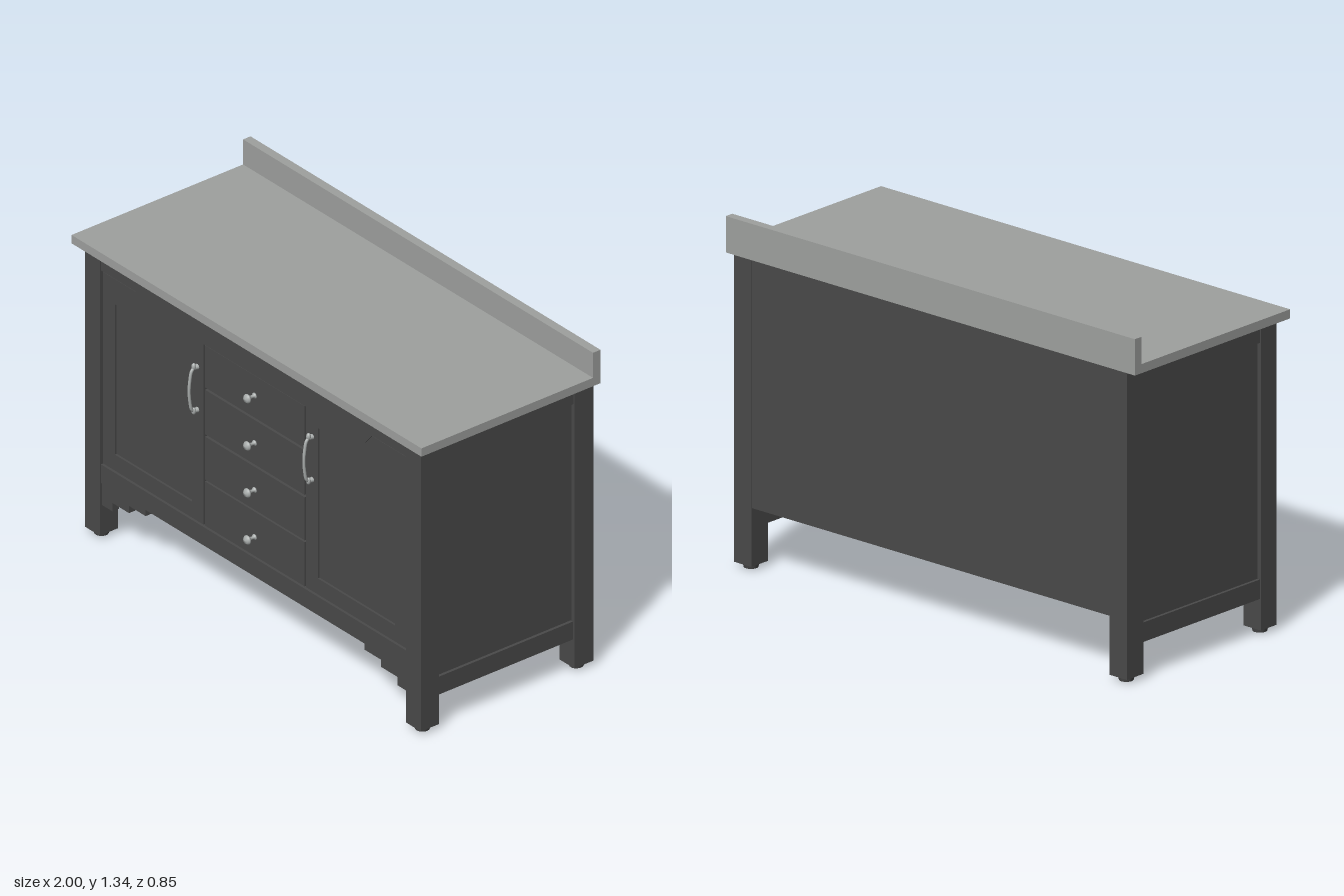
import * as THREE from 'three';

export function createModel() {
  const root = new THREE.Group();
  const mat = (name, color) => Object.assign(new THREE.MeshStandardMaterial({ color }), { name });
  const paint = mat('charcoal paint', 0x4a4a4a);
  const stone = mat('grey stone', 0x9fa19f);
  const metal = mat('brushed metal', 0xa8acab);

  const add = (name, geo, material, parent = root) => {
    const m = new THREE.Mesh(geo, material);
    m.name = name;
    parent.add(m);
    return m;
  };
  // box given by its limits on each axis
  const box = (name, x0, x1, y0, y1, z0, z1, material = paint, parent = root) => {
    const m = add(name, new THREE.BoxGeometry(x1 - x0, y1 - y0, z1 - z0), material, parent);
    m.position.set((x0 + x1) / 2, (y0 + y1) / 2, (z0 + z1) / 2);
    return m;
  };
  const polygon = (pts) => new THREE.Shape(pts.map(([x, y]) => new THREE.Vector2(x, y)));
  const extrude = (name, shape, z, depth) => {
    const m = add(name, new THREE.ExtrudeGeometry(shape, { depth, bevelEnabled: false }), paint);
    m.position.z = z;
    return m;
  };

  // worktop and upstand
  box('worktop', -1, 1, 1.2, 1.235, -0.425, 0.415, stone);
  box('backsplash', -1, 1, 1.2, 1.34, -0.425, -0.39, stone);

  // carcass
  box('frontBacking', -0.875, 0.875, 0.25, 1.2, 0.335, 0.36);
  box('backPanel', -0.875, 0.875, 0.245, 1.2, -0.421, -0.405);
  box('bottomPanel', -0.93, 0.93, 0.27, 0.29, -0.41, 0.35);
  box('bottomRail', -0.875, 0.875, 0.24, 0.317, 0.335, 0.38);

  // top rail with a dropped, chamfered apron
  extrude('topRail', polygon([
    [-0.875, 1.13], [-0.675, 1.13], [-0.635, 1.083], [0.635, 1.083],
    [0.675, 1.13], [0.875, 1.13], [0.875, 1.2], [-0.875, 1.2],
  ]), 0.35, 0.03);

  // bowed pull handle
  const pullPath = new THREE.CatmullRomCurve3([
    [0.97, 0.37], [0.97, 0.39], [0.96, 0.403], [0.92, 0.412], [0.88, 0.415],
    [0.84, 0.412], [0.8, 0.403], [0.79, 0.39], [0.79, 0.37],
  ].map(([y, z]) => new THREE.Vector3(0, y, z)));
  const pullGeo = new THREE.TubeGeometry(pullPath, 40, 0.006, 10);

  for (const s of [-1, 1]) {
    const side = s > 0 ? 'left' : 'right';
    const sbox = (name, x0, x1, ...rest) =>
      box(name, Math.min(s * x0, s * x1), Math.max(s * x0, s * x1), ...rest);

    // legs with round feet
    for (const [end, z0, z1] of [['Front', 0.3, 0.385], ['Back', -0.425, -0.335]]) {
      sbox(side + end + 'Leg', 0.875, 0.96, 0.02, 1.2, z0, z1);
      const foot = add(side + end + 'Foot', new THREE.CylinderGeometry(0.032, 0.027, 0.022, 20), paint);
      foot.position.set(s * 0.917, 0.011, (z0 + z1) / 2);
    }

    // framed side
    sbox(side + 'SidePanel', 0.925, 0.943, 0.2, 1.2, -0.34, 0.305);
    sbox(side + 'SideTopRail', 0.925, 0.955, 1.125, 1.2, -0.34, 0.305);
    sbox(side + 'SideBottomRail', 0.925, 0.955, 0.14, 0.215, -0.333, 0.305);

    // stepped corner bracket
    extrude(side + 'Bracket', polygon([
      [0.875, 0.145], [0.815, 0.145], [0.815, 0.18], [0.72, 0.18],
      [0.72, 0.21], [0.625, 0.21], [0.625, 0.245], [0.875, 0.245],
    ].map(([x, y]) => [s * x, y])), 0.345, 0.03);

    // door: frame around a recessed panel
    const door = polygon([[0.293, 0.323], [0.868, 0.323], [0.868, 1.125], [0.293, 1.125]]
      .map(([x, y]) => [s * x, y]));
    door.holes.push(new THREE.Path([[0.36, 0.39], [0.36, 1.02], [0.8, 1.02], [0.8, 0.39]]
      .map(([x, y]) => new THREE.Vector2(s * x, y))));
    extrude(side + 'DoorFrame', door, 0.355, 0.021);
    sbox(side + 'DoorPanel', 0.35, 0.81, 0.38, 1.03, 0.35, 0.367);

    // handle with its collars
    const handle = new THREE.Group();
    handle.name = side + 'Handle';
    handle.position.x = s * 0.328;
    root.add(handle);
    add('pull', pullGeo, metal, handle);
    for (const y of [0.79, 0.97]) {
      const collar = add('collar', new THREE.CylinderGeometry(0.008, 0.011, 0.014, 16), metal, handle);
      collar.rotation.x = Math.PI / 2;
      collar.position.set(0, y, 0.382);
      const tip = add('tip', new THREE.SphereGeometry(0.009, 14, 10), metal, handle);
      tip.scale.y = 1.6;
      tip.position.set(0, y + (y > 0.9 ? 0.006 : 0.006 - 0.006), 0.393);
    }
  }

  // drawers with turned knobs
  const knobGeo = new THREE.LatheGeometry([
    [0, 0], [0.012, 0], [0.011, 0.005], [0.006, 0.009], [0.006, 0.022], [0.012, 0.028],
    [0.018, 0.034], [0.018, 0.039], [0.012, 0.046], [0, 0.049],
  ].map(([r, h]) => new THREE.Vector2(r, h)), 24);
  knobGeo.rotateX(Math.PI / 2);
  [[0.323, 0.508, 0.403], [0.516, 0.696, 0.6], [0.706, 0.892, 0.797], [0.902, 1.078, 0.995]]
    .forEach(([y0, y1, ky], i) => {
      box('drawer' + (i + 1), -0.285, 0.285, y0, y1, 0.35, 0.376);
      add('knob' + (i + 1), knobGeo, metal).position.set(0, ky, 0.375);
    });

  return root;
}
